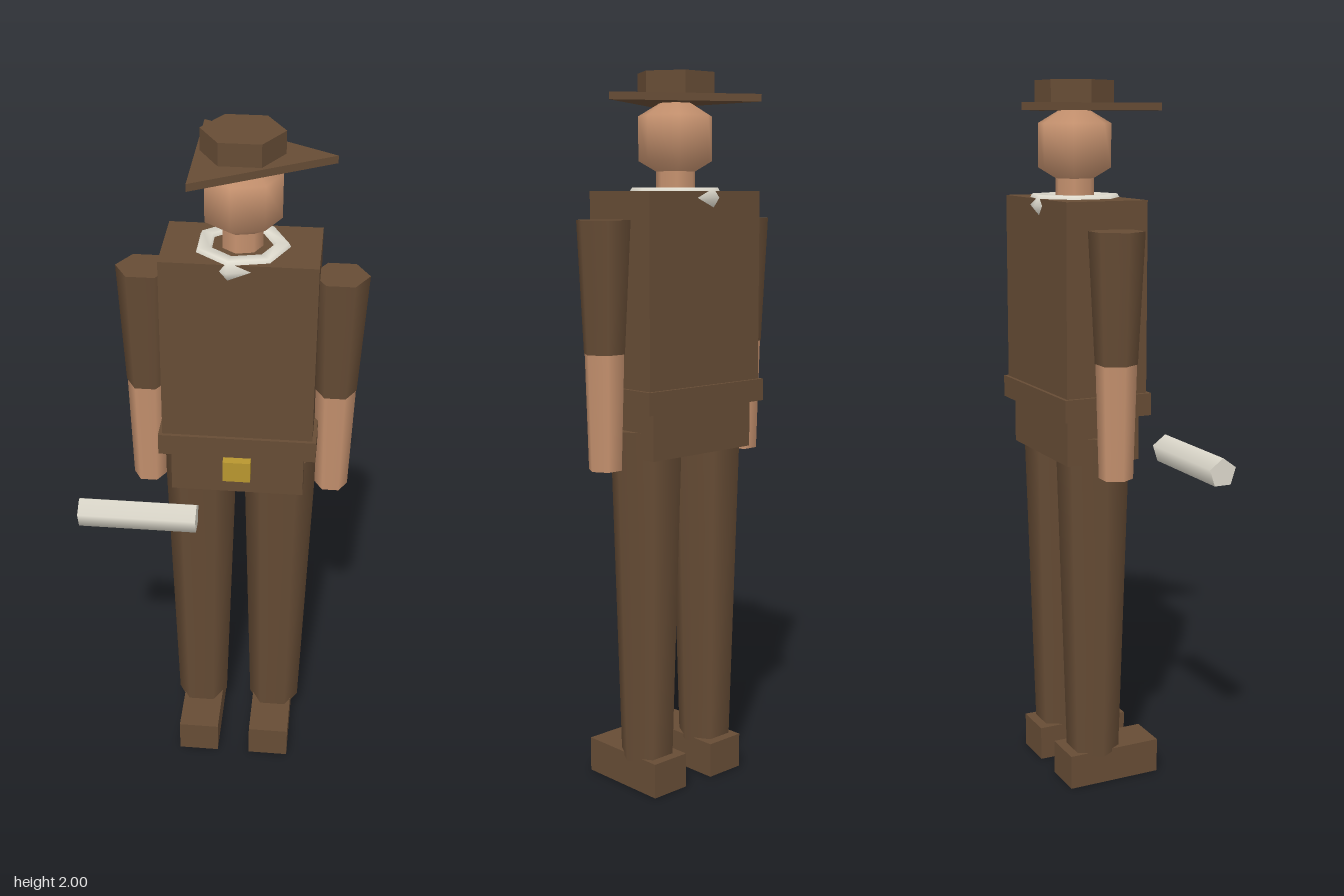
import * as THREE from 'three';

const CX = 0.043, CZ = -0.038; // body axis

export function createModel() {
  const mat = (name, color) => new THREE.MeshStandardMaterial({ name, color });
  const brown = mat('brown cloth', 0x664c35);
  const skin = mat('skin', 0xc6926f);
  const cream = mat('cream', 0xdedacd);
  const gold = mat('gold', 0xb8962f);

  const model = new THREE.Group();
  model.name = 'figure';

  const add = (name, geometry, material, x, y, z) => {
    const mesh = new THREE.Mesh(geometry, material);
    mesh.name = name;
    mesh.position.set(x, y, z);
    model.add(mesh);
    return mesh;
  };
  const box = (name, material, w, y0, y1, d, x = CX, z = CZ) =>
    add(name, new THREE.BoxGeometry(w, y1 - y0, d), material, x, (y0 + y1) / 2, z);
  // Upright prism with one corner pointing along +x
  const prism = (name, material, rTop, rBottom, y0, y1, sides, x = CX, flat = false) => {
    let g = new THREE.CylinderGeometry(rTop, rBottom, y1 - y0, sides, 1, false, Math.PI / 2);
    if (flat) {
      g = g.toNonIndexed();
      g.computeVertexNormals();
    }
    return add(name, g, material, x, (y0 + y1) / 2, CZ);
  };

  // Hat
  prism('hatBrim', brown, 0.239, 0.239, 1.92, 1.94, 3, CX, true);
  prism('hatCrown', brown, 0.109, 0.109, 1.94, 2.0, 6, CX, true);

  // Head, neck and neckerchief
  const head = add('head', new THREE.SphereGeometry(0.12, 7, 3), skin, CX, 1.826, CZ);
  head.rotation.y = Math.PI;
  prism('neck', skin, 0.055, 0.055, 1.64, 1.76, 7);
  const scarf = add('neckerchief', new THREE.TorusGeometry(0.106, 0.032, 6, 7), cream, CX, 1.667, CZ);
  scarf.rotation.x = Math.PI / 2;

  // Torso, jacket hem, hips and buckle
  box('torso', brown, 0.414, 1.1, 1.685, 0.24);
  box('jacketHem', brown, 0.436, 1.098, 1.16, 0.26);
  box('hips', brown, 0.37, 0.968, 1.1, 0.218);
  box('beltBuckle', gold, 0.077, 1.022, 1.085, 0.04, CX, 0.08);

  // Arms, legs and boots
  for (const [side, s] of [['left', 1], ['right', -1]]) {
    const armX = CX + s * 0.262, legX = CX + s * 0.114;
    prism(side + 'Sleeve', brown, 0.076, 0.058, 1.257, 1.61, 6, armX);
    prism(side + 'Forearm', skin, 0.056, 0.047, 0.942, 1.257, 6, armX);
    prism(side + 'Leg', brown, 0.104, 0.076, 0.09, 1.04, 6, legX);
    box(side + 'Boot', brown, 0.12, 0, 0.1, 0.28, CX + s * 0.109, 0.008);
  }

  // Rolled paper floating in front of the right hand
  const roll = add('roll',
    new THREE.CylinderGeometry(0.042, 0.042, 0.327, 5, 1, false, Math.PI / 2),
    cream, -0.22, 0.967, 0.202);
  roll.rotation.z = Math.PI / 2;

  return model;
}
